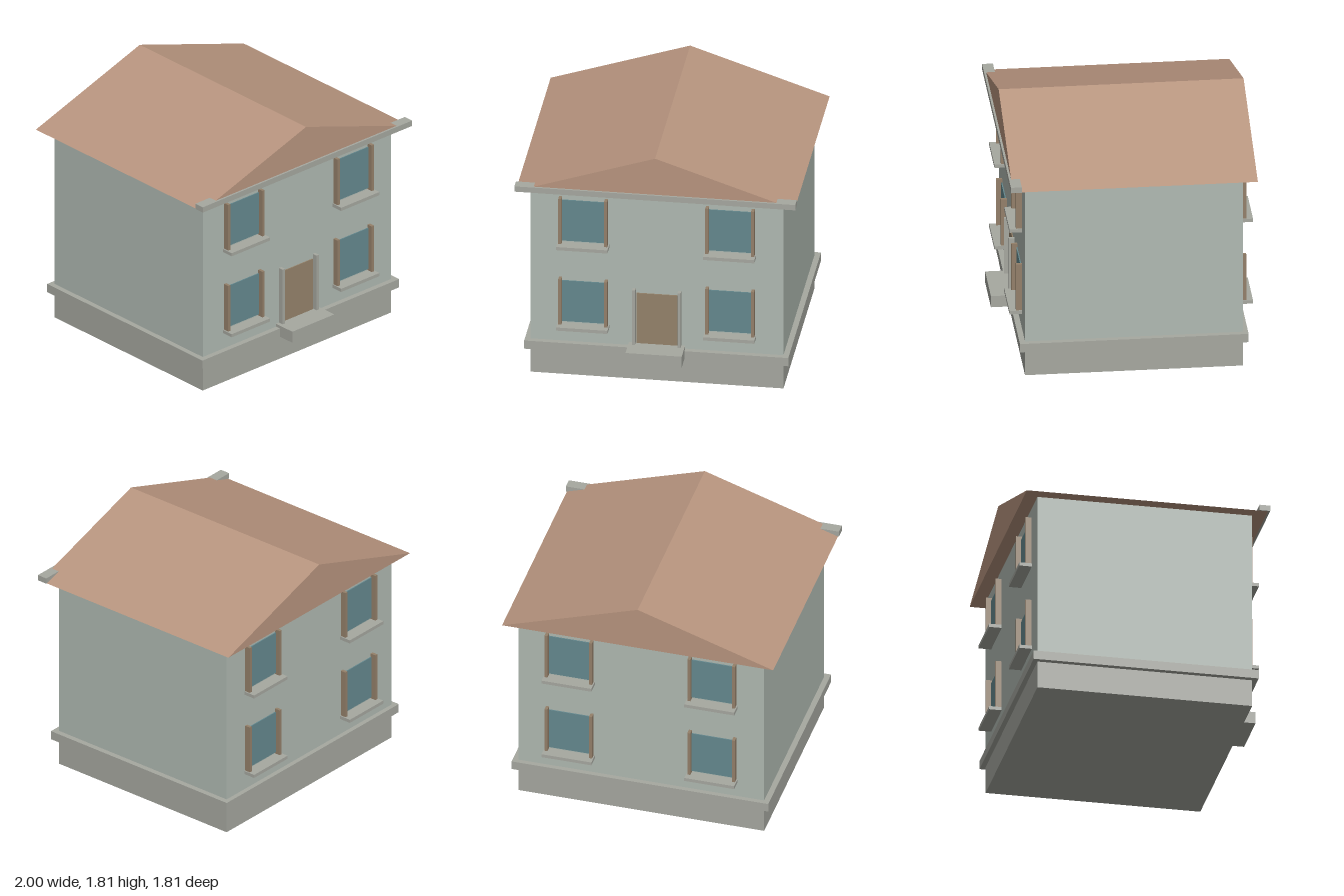
import * as THREE from 'three';

const material = (color) => new THREE.MeshStandardMaterial({ color });

export function createModel() {
  const house = new THREE.Group();
  house.name = 'house';
  const wall = material(0xb0bab2);
  const stone = material(0xa6a8a0);
  const tile = material(0xb8957f);
  const glass = material(0x65898f);
  const wood = material(0x94806a);
  const doorWood = material(0x95836b);

  // Box given by its extents along each axis
  function box(parent, name, mat, [x0, x1], [y0, y1], [z0, z1]) {
    const mesh = new THREE.Mesh(new THREE.BoxGeometry(x1 - x0, y1 - y0, z1 - z0), mat);
    mesh.position.set((x0 + x1) / 2, (y0 + y1) / 2, (z0 + z1) / 2);
    mesh.name = name;
    parent.add(mesh);
  }

  const front = 0.735, back = -0.81;

  // Base and walls
  box(house, 'foundation', stone, [-0.9, 0.9], [0, 0.2], [back, front]);
  box(house, 'plinthBand', stone, [-0.94, 0.94], [0.2, 0.265], [-0.845, 0.775]);
  box(house, 'walls', wall, [-0.9, 0.9], [0.265, 1.48], [back, front]);

  // Gabled roof: a solid triangular prism
  const gable = new THREE.Shape();
  gable.moveTo(-0.993, 1.48);
  gable.lineTo(0.993, 1.48);
  gable.lineTo(0, 1.81);
  gable.closePath();
  const roof = new THREE.Mesh(
    new THREE.ExtrudeGeometry(gable, { depth: 1.735, bevelEnabled: false }), tile);
  roof.position.z = -0.905;
  roof.name = 'roof';
  house.add(roof);

  // Cornice across the front eave
  box(house, 'cornice', stone, [-1, 1], [1.481, 1.523], [0.768, 0.845]);

  // Window in local space: centred on x, sill top at y = 0, wall face at z = 0
  function addWindow(name, x, y, z, turn) {
    const win = new THREE.Group();
    win.name = name;
    box(win, 'pane', glass, [-0.153, 0.153], [0.012, 0.335], [-0.01, 0.008]);
    for (const s of [-1, 1]) {
      box(win, 'jamb', wood, [s * 0.163 - 0.011, s * 0.163 + 0.011], [0, 0.36], [-0.01, 0.043]);
    }
    box(win, 'sill', stone, [-0.183, 0.183], [-0.025, 0], [-0.01, 0.09]);
    win.position.set(x, y, z);
    win.rotation.y = turn;
    house.add(win);
  }
  for (const x of [-0.523, 0.523]) {
    for (const y of [0.412, 1.052]) {
      addWindow('frontWindow', x, y, front, 0);
      addWindow('backWindow', x, y, back, Math.PI);
    }
  }

  // Front door with jambs and step
  box(house, 'door', doorWood, [-0.145, 0.145], [0.288, 0.685], [front - 0.01, front + 0.008]);
  for (const s of [-1, 1]) {
    box(house, 'doorJamb', stone, [s * 0.162 - 0.011, s * 0.162 + 0.011], [0.288, 0.72], [front - 0.01, 0.775]);
  }
  box(house, 'doorStep', stone, [-0.2, 0.2], [0.201, 0.288], [front - 0.01, 0.905]);

  return house;
}
